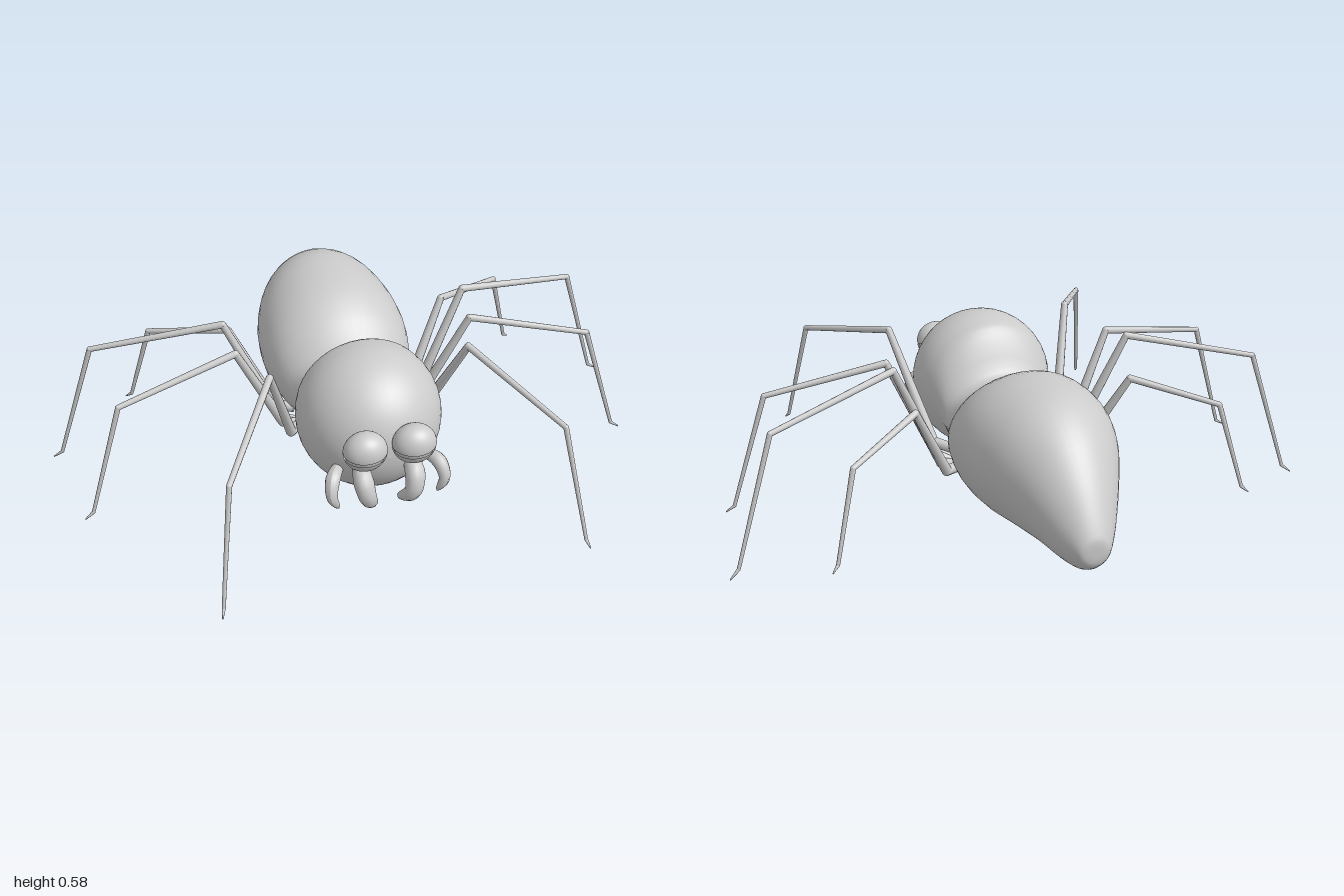
import * as THREE from 'three';

const material = new THREE.MeshStandardMaterial({ color: 0xcccccc, side: THREE.DoubleSide });
const vec = (p) => new THREE.Vector3(...p);

function addMesh(parent, geometry, name) {
  const mesh = new THREE.Mesh(geometry, material);
  mesh.name = name;
  parent.add(mesh);
  return mesh;
}

// Head and abdomen as one skin of elliptical rings: [z, halfWidth, top, bottom]
function bodyGeometry() {
  const keys = [];
  for (let i = 0; i <= 10; i++) {
    const a = THREE.MathUtils.degToRad(i * 11.5);
    const s = Math.sin(a);
    keys.push([0.23 + 0.235 * Math.cos(a), 0.235 * s, 0.345 + 0.24 * s, 0.345 - 0.24 * s]);
  }
  keys.push(
    [0.09, 0.2, 0.505, 0.14], [0.05, 0.19, 0.435, 0.13],
    [0, 0.2, 0.425, 0.115], [-0.05, 0.22, 0.455, 0.1],
    [-0.11, 0.24, 0.5, 0.085], [-0.2, 0.253, 0.54, 0.067],
    [-0.32, 0.246, 0.551, 0.073], [-0.44, 0.212, 0.54, 0.088],
    [-0.55, 0.162, 0.477, 0.094], [-0.64, 0.115, 0.38, 0.09],
    [-0.7, 0.078, 0.295, 0.098], [-0.735, 0.052, 0.235, 0.125],
    [-0.744, 0.03, 0.21, 0.15], [-0.745, 0, 0.18, 0.18]
  );
  const widths = new THREE.CatmullRomCurve3(keys.map((k) => vec([k[0], k[1], 0])), false, 'catmullrom');
  const heights = new THREE.CatmullRomCurve3(keys.map((k) => vec([k[0], k[2], k[3]])), false, 'catmullrom');
  const rings = (keys.length - 1) * 3, sides = 40;
  const positions = [], index = [];
  for (let i = 0; i <= rings; i++) {
    const w = widths.getPoint(i / rings), h = heights.getPoint(i / rings);
    for (let j = 0; j < sides; j++) {
      const a = (j / sides) * Math.PI * 2;
      positions.push(w.y * Math.cos(a), (h.y + h.z) / 2 + ((h.y - h.z) / 2) * Math.sin(a), w.x);
      if (i === rings) continue;
      const p = i * sides + j, q = i * sides + ((j + 1) % sides);
      index.push(p, p + sides, q, q, p + sides, q + sides);
    }
  }
  const geometry = new THREE.BufferGeometry();
  geometry.setAttribute('position', new THREE.Float32BufferAttribute(positions, 3));
  geometry.setIndex(index);
  geometry.computeVertexNormals();
  return geometry;
}

// Curved tube whose thickness follows radiusAt(t)
function taperedTube(points, radiusAt) {
  const curve = new THREE.CatmullRomCurve3(points.map(vec));
  const steps = 16, sides = 12;
  const geometry = new THREE.TubeGeometry(curve, steps, 1, sides);
  const pos = geometry.attributes.position, v = new THREE.Vector3();
  for (let i = 0; i <= steps; i++) {
    const centre = curve.getPointAt(i / steps);
    for (let j = 0; j <= sides; j++) {
      const n = i * (sides + 1) + j;
      v.fromBufferAttribute(pos, n).sub(centre).multiplyScalar(radiusAt(i / steps)).add(centre);
      pos.setXYZ(n, v.x, v.y, v.z);
    }
  }
  geometry.computeVertexNormals();
  return geometry;
}

// Jointed leg: tapered segments with round joints
function addLeg(parent, points, name) {
  const leg = new THREE.Group();
  leg.name = name;
  const radii = [0.017, 0.018, 0.012, 0.009, 0.006, 0.002];
  for (let i = 0; i < points.length - 1; i++) {
    const a = vec(points[i]), b = vec(points[i + 1]);
    const segment = addMesh(leg, new THREE.CylinderGeometry(radii[i + 1], radii[i], a.distanceTo(b), 10), 'legSegment');
    segment.position.copy(a).lerp(b, 0.5);
    segment.quaternion.setFromUnitVectors(new THREE.Vector3(0, 1, 0), b.clone().sub(a).normalize());
    addMesh(leg, new THREE.SphereGeometry(radii[i + 1], 10, 8), 'legJoint').position.copy(b);
  }
  parent.add(leg);
}

// Eyeball between an upper and a lower lid
function addEye(parent, side) {
  const eye = new THREE.Group();
  eye.name = 'eye';
  addMesh(eye, new THREE.SphereGeometry(0.94, 28, 20), 'eyeball');
  addMesh(eye, new THREE.SphereGeometry(1, 28, 12, 0, Math.PI * 2, 0, Math.PI * 0.5), 'upperLid');
  addMesh(eye, new THREE.SphereGeometry(1, 28, 12, 0, Math.PI * 2, Math.PI * 0.55, Math.PI * 0.45), 'lowerLid');
  eye.scale.set(0.07, 0.067, 0.058);
  eye.position.set(0.078 * side, 0.4, 0.477);
  eye.rotation.x = 0.12;
  parent.add(eye);
}

// Hip, hip bend, upper knee, outer knee, ankle, toe (left side)
const legs = {
  frontLeg: [[0.17, 0.19, 0.03], [0.225, 0.2, 0.09], [0.32, 0.56, 0.25], [0.52, 0.465, 0.6], [0.578, 0.09, 0.715], [0.586, 0.07, 0.737]],
  secondLeg: [[0.17, 0.15, 0], [0.235, 0.185, 0.015], [0.39, 0.527, 0.058], [0.78, 0.445, 0.13], [0.9, 0.055, 0.155], [0.928, 0.035, 0.16]],
  thirdLeg: [[0.17, 0.15, -0.01], [0.235, 0.175, -0.02], [0.405, 0.555, -0.07], [0.83, 0.46, -0.178], [0.965, 0.03, -0.207], [0.995, 0.005, -0.217]],
  rearLeg: [[0.18, 0.175, -0.06], [0.24, 0.18, -0.09], [0.37, 0.45, -0.18], [0.62, 0.382, -0.34], [0.695, 0.09, -0.39], [0.715, 0.072, -0.403]]
};
const innerFang = [[0.08, 0.305, 0.43], [0.083, 0.28, 0.48], [0.072, 0.225, 0.5], [0.038, 0.165, 0.45]];
const outerFang = [[0.145, 0.285, 0.4], [0.172, 0.28, 0.445], [0.183, 0.235, 0.475], [0.16, 0.18, 0.472]];

export function createModel() {
  const spider = new THREE.Group();
  spider.name = 'spider';
  addMesh(spider, bodyGeometry(), 'body');
  for (const side of [1, -1]) {
    const mirror = (points) => points.map(([x, y, z]) => [x * side, y, z]);
    addEye(spider, side);
    const bulge = (size) => (t) => size * Math.min(1, 0.7 + t) * Math.sqrt(Math.max(0.002, 1 - t ** 1.6));
    addMesh(spider, taperedTube(mirror(innerFang), bulge(0.036)), 'innerFang');
    addMesh(spider, taperedTube(mirror(outerFang), bulge(0.026)), 'outerFang');
    for (const [name, points] of Object.entries(legs)) addLeg(spider, mirror(points), name);
  }
  return spider;
}
